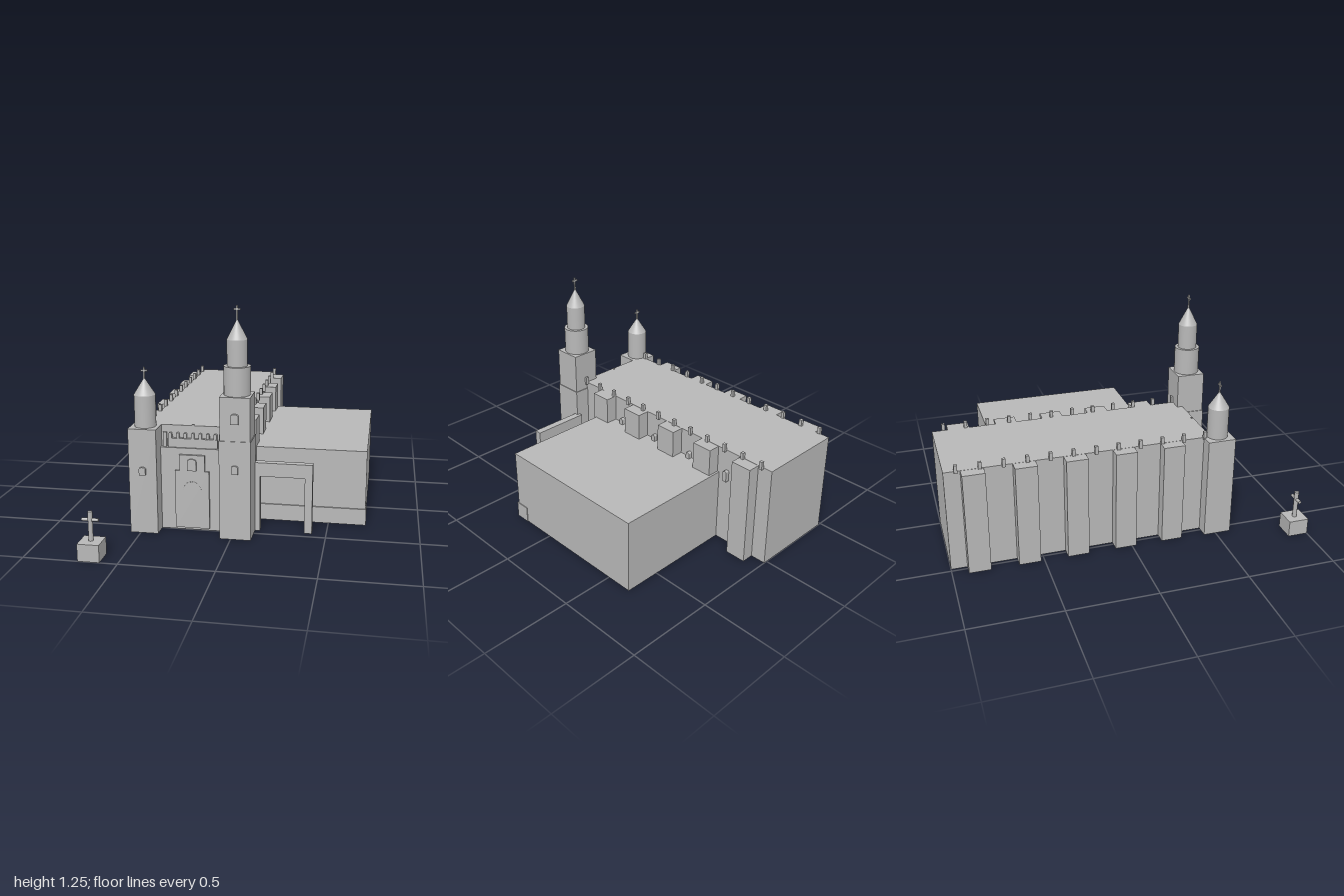
import * as THREE from 'three';

export function createModel() {
  const root = new THREE.Group();
  root.name = 'church';
  const stone = new THREE.MeshStandardMaterial({ color: 0xb8b8b8 });
  stone.name = 'grey stone';

  const add = (name, geometry, parent = root) => {
    const mesh = new THREE.Mesh(geometry, stone);
    mesh.name = name;
    parent.add(mesh);
    return mesh;
  };
  // Box given by its limits on each axis
  const box = (name, x0, x1, y0, y1, z0, z1, parent = root) => {
    const mesh = add(name, new THREE.BoxGeometry(x1 - x0, y1 - y0, z1 - z0), parent);
    mesh.position.set((x0 + x1) / 2, (y0 + y1) / 2, (z0 + z1) / 2);
    return mesh;
  };
  // Round-headed block standing out from a wall, facing +z
  const archBlock = (name, w, h, depth, parent = root) => {
    const s = new THREE.Shape();
    const r = w / 2, rise = w * 0.3;
    s.moveTo(-r, 0);
    s.lineTo(r, 0);
    s.lineTo(r, h - rise);
    s.absellipse(0, h - rise, r, rise, 0, Math.PI, false);
    s.closePath();
    return add(name, new THREE.ExtrudeGeometry(s, { depth, bevelEnabled: false, curveSegments: 8 }), parent);
  };
  const group = (name) => {
    const g = new THREE.Group();
    g.name = name;
    root.add(g);
    return g;
  };
  const drum = (name, x, z, r, y0, y1, parent) => {
    add(name, new THREE.CylinderGeometry(r, r, y1 - y0, 32), parent).position.set(x, (y0 + y1) / 2, z);
  };
  // Conical roof with a small cross on its tip
  const spire = (x, z, r, y0, y1, yTop, parent) => {
    add('spire', new THREE.ConeGeometry(r, y1 - y0, 32), parent).position.set(x, (y0 + y1) / 2, z);
    box('crossPost', x - 0.004, x + 0.004, y1 - 0.01, yTop, z - 0.004, z + 0.004, parent);
    box('crossArm', x - 0.018, x + 0.018, yTop - 0.024, yTop - 0.015, z - 0.004, z + 0.004, parent);
  };

  // Nave with buttresses, roof pinnacles and side windows
  const nave = group('nave');
  box('naveBody', -0.483, 0.02, 0, 0.585, -1, 0.47, nave);
  for (let i = 0; i < 5; i++) {
    const z = -0.852 + i * 0.272;
    box('leftButtress', 0.01, 0.09, 0, 0.584, z - 0.06, z + 0.06, nave);
    box('rightButtress', -0.546, -0.47, 0, 0.584, z - 0.06, z + 0.06, nave);
  }
  for (let i = 0; i < 12; i++) {
    const z = 0.434 - i * 0.1245;
    for (const x of [-0.484, 0.026])
      box('pinnacle', x - 0.009, x + 0.009, 0.575, 0.622, z - 0.009, z + 0.009, nave);
  }
  for (let i = 0; i < 4; i++) {
    const z = 0.108 - i * 0.272;
    const w = archBlock('sideWindow', 0.024, 0.064, 0.025, nave);
    w.rotation.y = Math.PI / 2;
    w.position.set(0.018, 0.4, z);
  }

  // Side building with a front plinth
  const annex = group('annex');
  box('annexBody', 0.01, 0.704, 0, 0.427, -0.652, 0.279, annex);
  box('annexPlinth', 0.01, 0.708, 0, 0.093, 0.2, 0.287, annex);

  // Shorter bell tower
  const small = group('smallTower');
  box('towerBase', -0.556, -0.402, 0, 0.585, 0.43, 0.588, small);
  drum('belfry', -0.479, 0.509, 0.058, 0.585, 0.759, small);
  spire(-0.479, 0.509, 0.058, 0.759, 0.852, 0.907, small);
  archBlock('towerWindow', 0.036, 0.044, 0.02, small).position.set(-0.479, 0.333, 0.582);

  // Taller bell tower
  const tall = group('tallTower');
  box('towerBase', -0.06, 0.11, 0, 0.545, 0.434, 0.602, tall);
  box('towerUpper', -0.056, 0.106, 0.545, 0.78, 0.438, 0.598, tall);
  drum('lowerBelfry', 0.025, 0.517, 0.071, 0.78, 0.933, tall);
  drum('upperBelfry', 0.025, 0.517, 0.054, 0.933, 1.072, tall);
  spire(0.025, 0.517, 0.054, 1.072, 1.18, 1.246, tall);
  archBlock('lowerWindow', 0.036, 0.045, 0.02, tall).position.set(0.025, 0.37, 0.595);
  archBlock('upperWindow', 0.043, 0.054, 0.022, tall).position.set(0.025, 0.64, 0.593);

  // Entrance front between the towers
  const front = group('facade');
  box('facadeWall', -0.41, -0.05, 0, 0.465, 0.44, 0.498, front);
  box('facadeParapet', -0.36, -0.09, 0.465, 0.515, 0.45, 0.489, front);
  for (let i = 0; i < 7; i++)
    archBlock('baluster', 0.017, 0.032, 0.018, front).position.set(-0.351 + i * 0.0415, 0.513, 0.468);
  for (const x of [-0.381, -0.071])
    box('endBaluster', x - 0.01, x + 0.01, 0.465, 0.546, 0.465, 0.485, front);
  box('roofKnob', -0.232, -0.222, 0.58, 0.59, 0.455, 0.465, front);

  // Stepped portal, niche and arch moulding over the door
  const portal = new THREE.Shape([
    [-0.322, 0.014], [-0.133, 0.014], [-0.133, 0.34], [-0.157, 0.34],
    [-0.157, 0.43], [-0.296, 0.43], [-0.296, 0.34], [-0.322, 0.34],
  ].map(([x, y]) => new THREE.Vector2(x, y)));
  add('portal', new THREE.ExtrudeGeometry(portal, { depth: 0.016, bevelEnabled: false }), front).position.z = 0.495;
  archBlock('niche', 0.05, 0.066, 0.012, front).position.set(-0.227, 0.344, 0.508);
  add('doorArch', new THREE.TorusGeometry(0.05, 0.002, 6, 20, Math.PI), front).position.set(-0.227, 0.23, 0.51);

  // Courtyard gate
  const gate = group('gate');
  box('gatePost', 0.09, 0.137, 0, 0.39, 0.415, 0.456, gate);
  box('gatePost', 0.38, 0.422, 0, 0.39, 0.415, 0.456, gate);
  box('gateLintel', 0.137, 0.38, 0.313, 0.39, 0.415, 0.456, gate);

  // Free-standing cross on a pedestal
  const cross = group('courtyardCross');
  box('pedestal', -0.709, -0.594, 0, 0.093, 0.885, 1, cross);
  add('post', new THREE.CylinderGeometry(0.013, 0.013, 0.157, 8), cross).position.set(-0.653, 0.1715, 0.942);
  const arm = add('arm', new THREE.CylinderGeometry(0.009, 0.009, 0.088, 8), cross);
  arm.rotation.z = Math.PI / 2;
  arm.position.set(-0.653, 0.205, 0.942);

  return root;
}
